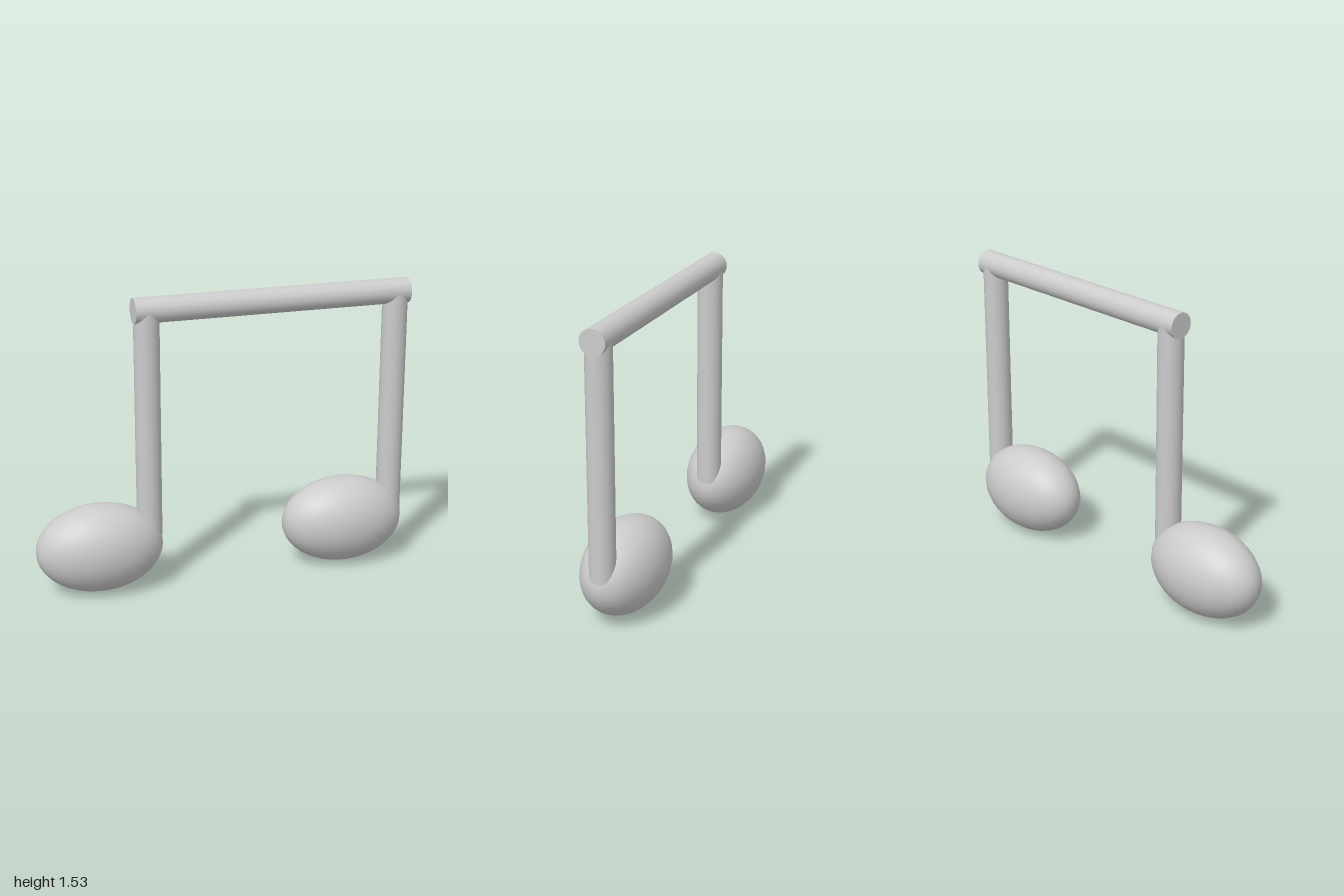
import * as THREE from 'three';

const R = 0.066; // rod radius
const BEAM_Y = 1.469;
const STEM_BOTTOM = 0.27;

export function createModel() {
  const group = new THREE.Group();
  const material = new THREE.MeshStandardMaterial({ color: 0xcccccc });

  const add = (name, geometry, x, y) => {
    const mesh = new THREE.Mesh(geometry, material);
    mesh.name = name;
    mesh.position.set(x, y, 0);
    group.add(mesh);
  };

  // Two oval note heads, each with a stem rising from its +x end
  const headGeometry = new THREE.SphereGeometry(1, 32, 20).scale(0.333, 0.233, 0.2);
  const stemLength = BEAM_Y - STEM_BOTTOM;
  const stemGeometry = new THREE.CylinderGeometry(R, R, stemLength, 32);
  for (const [side, x] of [['right', -0.667], ['left', 0.667]]) {
    add(side + 'NoteHead', headGeometry, x, 0.233);
    add(side + 'Stem', stemGeometry, x + 0.267, STEM_BOTTOM + stemLength / 2);
  }

  // Horizontal beam joining the stem tops
  const beamGeometry = new THREE.CylinderGeometry(R, R, 1.467, 32).rotateZ(Math.PI / 2);
  add('beam', beamGeometry, 0.2665, BEAM_Y);

  return group;
}
